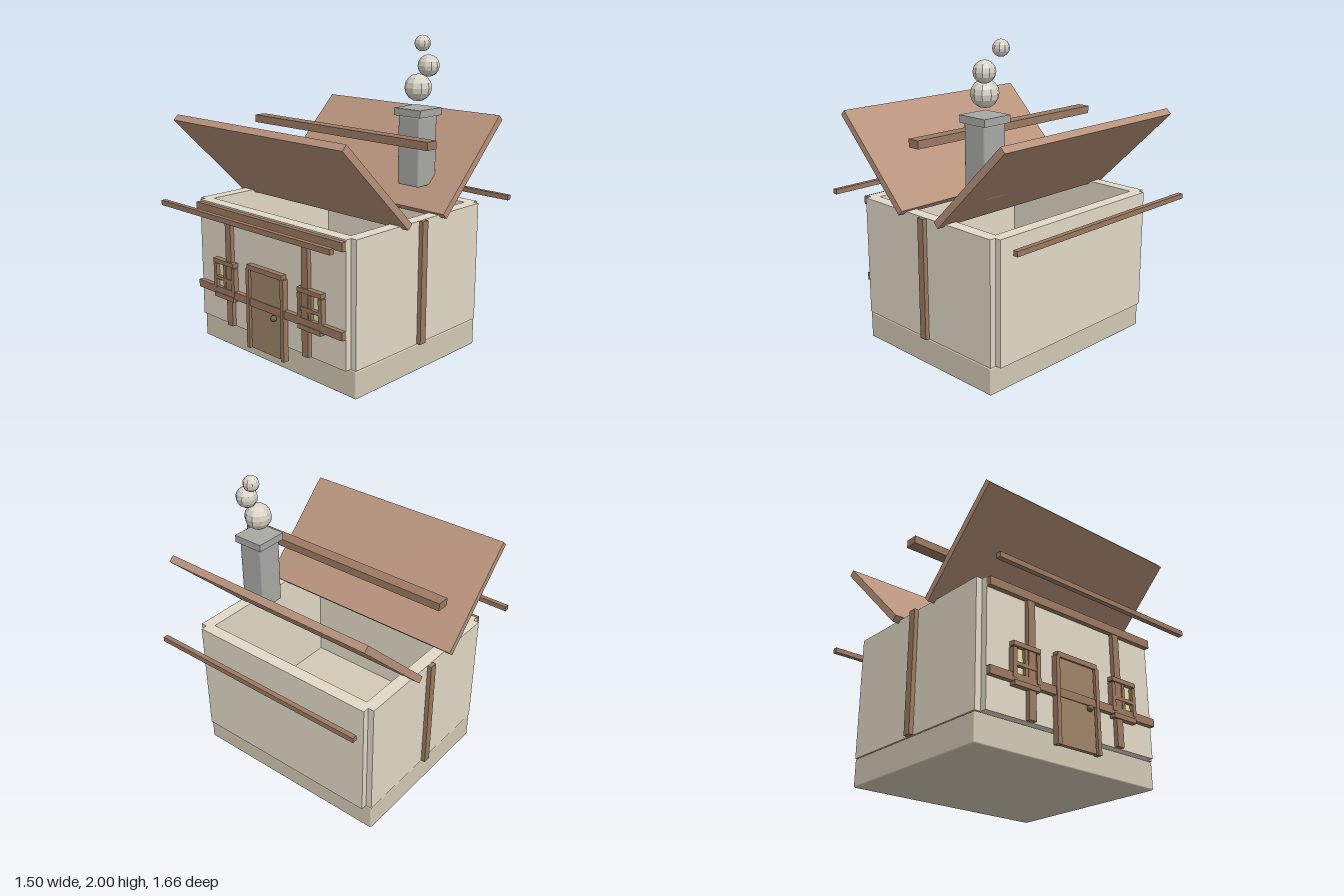
import * as THREE from 'three';
import { RoundedBoxGeometry } from 'three/addons/geometries/RoundedBoxGeometry.js';

const mat = (color, flatShading = false) => new THREE.MeshStandardMaterial({ color, flatShading });
const M = {
  wall: mat(0xe3dac8), base: mat(0xd3cab5), timber: mat(0x9c7a62), roof: mat(0xb8937c),
  door: mat(0x9e8668), glass: mat(0xe8deb0), stone: mat(0xa9a9a6), knob: mat(0x6e5a48),
  smoke: mat(0xd8d2c6, true),
};

function add(parent, name, geometry, material, x, y, z) {
  const mesh = new THREE.Mesh(geometry, material);
  mesh.name = name;
  mesh.position.set(x, y, z);
  parent.add(mesh);
  return mesh;
}

// Box given by its extents along each axis
const box = (parent, name, material, [x0, x1], [y0, y1], [z0, z1]) =>
  add(parent, name, new THREE.BoxGeometry(x1 - x0, y1 - y0, z1 - z0), material,
    (x0 + x1) / 2, (y0 + y1) / 2, (z0 + z1) / 2);

function createWindow(name, x) {
  const g = new THREE.Group();
  g.name = name;
  g.position.x = x;
  box(g, 'glass', M.glass, [-0.08, 0.08], [0.37, 0.585], [0.595, 0.612]);
  box(g, 'windowHead', M.timber, [-0.1, 0.1], [0.577, 0.605], [0.6, 0.64]);
  box(g, 'windowSill', M.timber, [-0.095, 0.095], [0.35, 0.38], [0.6, 0.64]);
  for (const s of [-1, 1]) {
    const c = s * 0.087;
    box(g, 'windowJamb', M.timber, [c - 0.014, c + 0.014], [0.393, 0.57], [0.6, 0.637]);
  }
  box(g, 'crossBar', M.timber, [-0.088, 0.088], [0.468, 0.49], [0.602, 0.635]);
  box(g, 'uprightBar', M.timber, [-0.011, 0.011], [0.38, 0.577], [0.602, 0.632]);
  return g;
}

function createDoor() {
  const g = new THREE.Group();
  g.name = 'door';
  box(g, 'doorPanel', M.door, [-0.135, 0.135], [0.095, 0.605], [0.6, 0.628]);
  box(g, 'doorLintel', M.timber, [-0.158, 0.158], [0.605, 0.637], [0.6, 0.64]);
  for (const s of [-1, 1]) {
    const c = s * 0.156;
    box(g, 'doorJamb', M.timber, [c - 0.014, c + 0.014], [0.09, 0.61], [0.6, 0.64]);
  }
  add(g, 'doorKnob', new THREE.SphereGeometry(0.02, 12, 8), M.knob, 0.085, 0.35, 0.643);
  return g;
}

export function createModel() {
  const model = new THREE.Group();
  model.name = 'cottage';

  // Plinth with softened edges
  add(model, 'plinth', new RoundedBoxGeometry(1.38, 0.175, 1.124, 2, 0.01), M.base, 0, 0.0885, 0);

  // Four walls that overlap and leave a notch at each corner
  for (const s of [-1, 1]) {
    add(model, s > 0 ? 'frontWall' : 'backWall', new THREE.BoxGeometry(1.3, 0.775, 0.08), M.wall, 0, 0.5655, s * 0.563);
    add(model, s > 0 ? 'leftWall' : 'rightWall', new THREE.BoxGeometry(0.08, 0.775, 1.125), M.wall, s * 0.65, 0.5655, 0);
    // Timber at the middle of each side wall
    add(model, 'sidePost', new THREE.BoxGeometry(0.04, 0.772, 0.05), M.timber, s * 0.698, 0.566, 0);
    // Upright timber on the front
    add(model, 'frontPost', new THREE.BoxGeometry(0.052, 0.757, 0.032), M.timber, s * 0.345, 0.5585, 0.615);
    model.add(createWindow(s > 0 ? 'leftWindow' : 'rightWindow', s * 0.388));

    // Roof panels open outward as a V
    const panel = add(model, s > 0 ? 'frontRoofPanel' : 'backRoofPanel',
      new THREE.BoxGeometry(1.47, 0.045, 0.765), M.roof, 0, 1.219, s * 0.434);
    panel.rotation.x = -s * 0.778;
    add(model, 'eavesBeam', new THREE.BoxGeometry(1.5, 0.032, 0.032), M.timber, 0, 0.955, s * 0.815);
  }
  box(model, 'frontTopBeam', M.timber, [-0.65, 0.65], [0.89, 0.943], [0.6, 0.635]);
  box(model, 'frontMiddleBeam', M.timber, [-0.65, 0.65], [0.37, 0.42], [0.6, 0.634]);
  box(model, 'ridgeBeam', M.timber, [-0.75, 0.75], [1.38, 1.43], [-0.041, 0.041]);

  model.add(createDoor());

  // Chimney and smoke puffs
  add(model, 'chimneyShaft', new RoundedBoxGeometry(0.17, 0.434, 0.17, 2, 0.012), M.stone, 0.431, 1.305, -0.257);
  add(model, 'chimneyCap', new THREE.BoxGeometry(0.206, 0.046, 0.206), M.stone, 0.431, 1.544, -0.257);
  for (const [r, x, y, z] of [[0.084, 0.43, 1.69, -0.257], [0.067, 0.473, 1.822, -0.3], [0.05, 0.387, 1.95, -0.344]])
    add(model, 'smokePuff', new THREE.SphereGeometry(r, 10, 8), M.smoke, x, y, z);

  return model;
}
